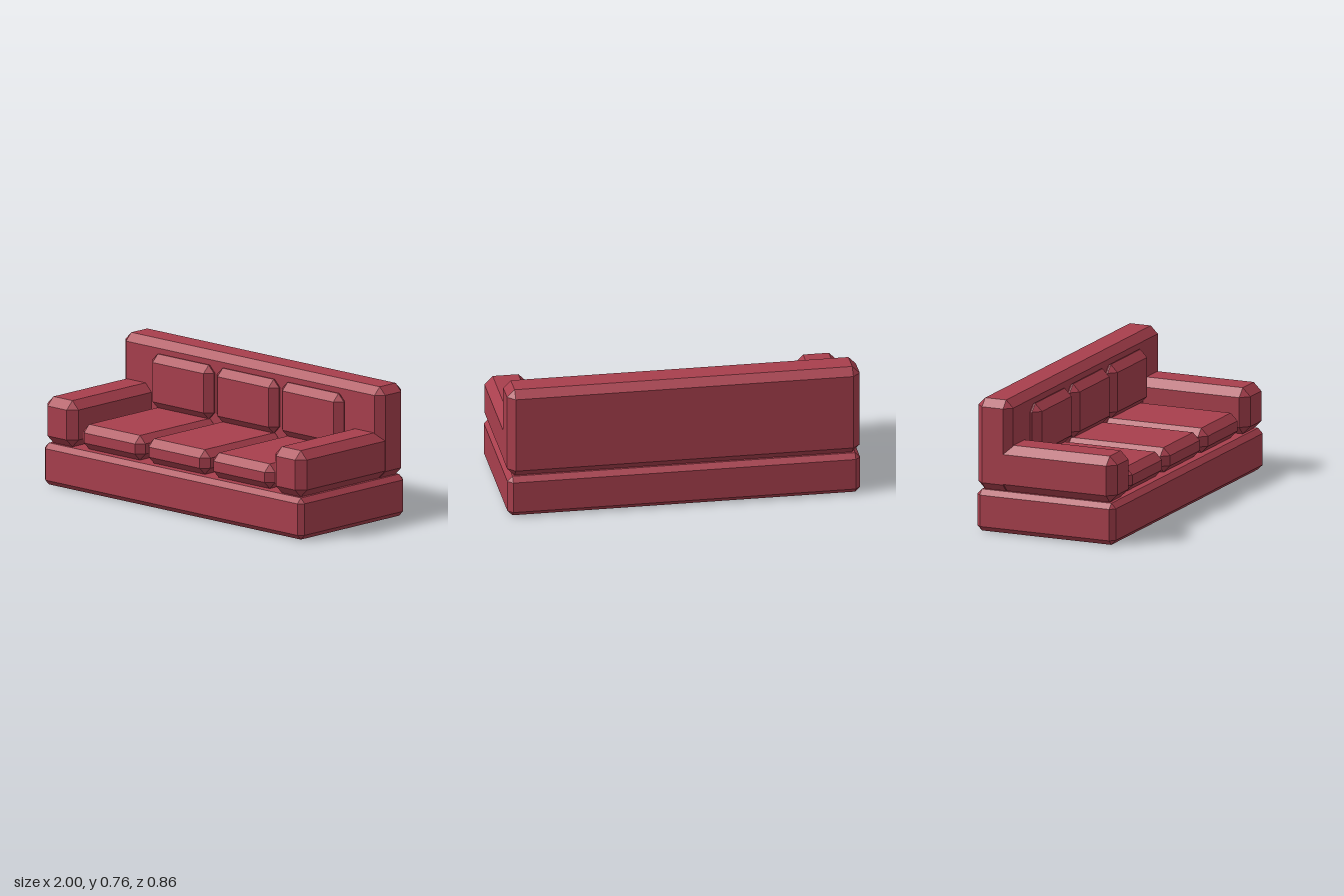
import * as THREE from 'three';
import { ConvexGeometry } from 'three/addons/geometries/ConvexGeometry.js';

const fabric = new THREE.MeshStandardMaterial({ color: 0xa83f4d, flatShading: true });

// Box between two corners with every edge cut at 45 degrees by c
function bevelBox(name, min, max, c) {
  const lo = new THREE.Vector3(...min), hi = new THREE.Vector3(...max);
  const half = hi.clone().sub(lo).multiplyScalar(0.5);
  const points = [];
  for (const sx of [-1, 1]) for (const sy of [-1, 1]) for (const sz of [-1, 1]) {
    for (const axis of ['x', 'y', 'z']) {
      const p = half.clone().subScalar(c);
      p[axis] = half[axis];
      points.push(p.multiply(new THREE.Vector3(sx, sy, sz)));
    }
  }
  const mesh = new THREE.Mesh(new ConvexGeometry(points), fabric);
  mesh.name = name;
  mesh.position.copy(lo).add(hi).multiplyScalar(0.5);
  return mesh;
}

export function createModel() {
  const sofa = new THREE.Group();
  sofa.name = 'sofa';

  // Plinth and backrest
  sofa.add(bevelBox('base', [-1, 0, -0.428], [1, 0.239, 0.428], 0.029));
  sofa.add(bevelBox('backrest', [-1, 0.239, -0.428], [1, 0.763, -0.213], 0.043));

  // Arms, their rear ends buried in the backrest
  sofa.add(bevelBox('leftArm', [0.76, 0.239, -0.302], [1, 0.505, 0.428], 0.047));
  sofa.add(bevelBox('rightArm', [-1, 0.239, -0.302], [-0.76, 0.505, 0.428], 0.047));

  // Three seat cushions with a back cushion above each
  ['right', 'middle', 'left'].forEach((side, i) => {
    const x = (i - 1) * 0.5 - 0.002, w = 0.238;
    sofa.add(bevelBox(side + 'SeatCushion', [x - w, 0.241, -0.25], [x + w, 0.383, 0.402], 0.042));
    sofa.add(bevelBox(side + 'BackCushion', [x - w, 0.381, -0.247], [x + w, 0.691, -0.156], 0.042));
  });

  return sofa;
}
